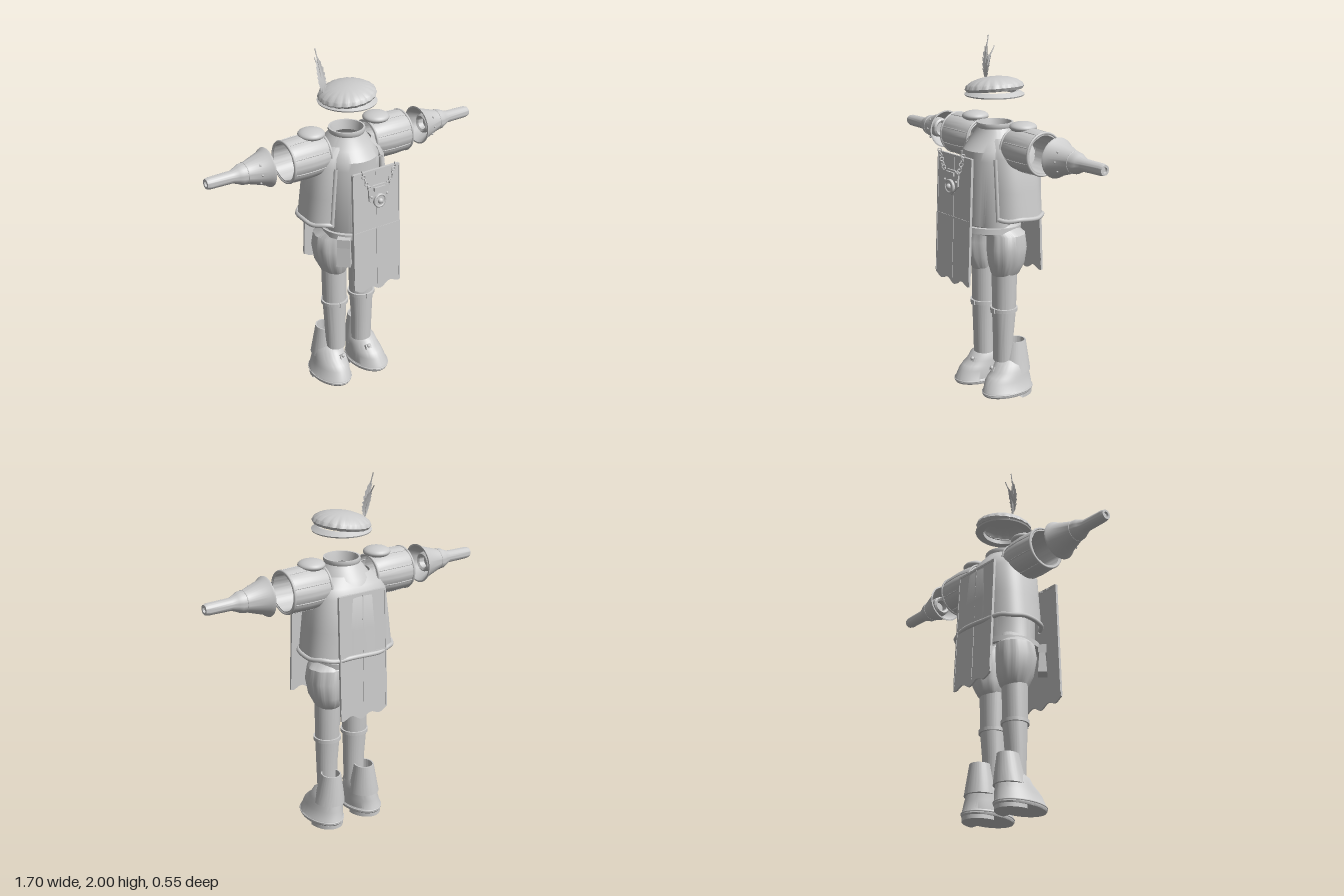
import * as THREE from 'three';
import { toCreasedNormals } from 'three/addons/utils/BufferGeometryUtils.js';

const cloth = new THREE.MeshStandardMaterial({ color: 0xcccccc, side: THREE.DoubleSide });
cloth.name = 'light grey cloth';

const V = (x, y, z) => new THREE.Vector3(x, y, z);
const TAU = Math.PI * 2;

function add(parent, name, geometry, x = 0, y = 0, z = 0) {
  const mesh = new THREE.Mesh(geometry, cloth);
  mesh.name = name;
  mesh.position.set(x, y, z);
  parent.add(mesh);
  return mesh;
}

function section(parent, name) {
  const g = new THREE.Group();
  g.name = name;
  parent.add(g);
  return g;
}

// Point on a (super)ellipse ring [y, cx, cz, rx, rz]
function ringPoint([y, cx, cz, rx, rz], t, power = 1) {
  const p = (v) => Math.sign(v) * Math.abs(v) ** power;
  return V(cx + rx * p(Math.cos(t)), y, cz + rz * p(Math.sin(t)));
}

// Skin through stacked rings, optionally a partial arc or with pleats
function loft(rings, { from = 0, to = TAU, power = 1, pleat = () => 1, seg = 64, crease = 0.6 } = {}) {
  const pos = [], index = [];
  rings.forEach((r, j) => {
    for (let i = 0; i <= seg; i++) {
      const t = from + (to - from) * i / seg, k = pleat(t, j);
      pos.push(...ringPoint([r[0], r[1], r[2], r[3] * k, r[4] * k], t, power).toArray());
      if (j < rings.length - 1 && i < seg) {
        const a = j * (seg + 1) + i, c = a + seg + 1;
        index.push(a, c, a + 1, a + 1, c, c + 1);
      }
    }
  });
  const g = new THREE.BufferGeometry();
  g.setAttribute('position', new THREE.Float32BufferAttribute(pos, 3));
  g.setIndex(index);
  return toCreasedNormals(g, crease);
}

const lathe = (pts, seg = 40) =>
  toCreasedNormals(new THREE.LatheGeometry(pts.map(([r, y]) => new THREE.Vector2(r, y)), seg), 0.6);
const tube = (pts, r, n = 48) => new THREE.TubeGeometry(new THREE.CatmullRomCurve3(pts), n, r, 8);
const box = (w, h, d) => new THREE.BoxGeometry(w, h, d);
const ringTube = (ring, r) =>
  new THREE.TubeGeometry(new THREE.CatmullRomCurve3(
    Array.from({ length: 32 }, (_, i) => ringPoint(ring, TAU * i / 32)), true), 64, r, 8, true);

// Beret with scalloped crown, brim band and feathers
function buildHat(root) {
  const hat = section(root, 'hat');
  const crown = add(hat, 'crown', loft([
    [-0.015, 0, 0, 0.125, 0.13], [-0.012, 0, 0, 0.148, 0.153], [0.003, 0, 0, 0.158, 0.163],
    [0.022, 0, 0, 0.15, 0.155], [0.042, 0, 0, 0.12, 0.125], [0.055, 0, 0, 0.08, 0.085],
    [0.062, 0, 0, 0.04, 0.042], [0.064, 0, 0, 0, 0]],
  { seg: 128, pleat: (t, j) => 1 - (j < 5 ? 0.035 * (1 - Math.abs(Math.cos(t * 10))) : 0) }), 0, 1.735, -0.045);
  crown.rotation.z = 0.12;
  add(hat, 'brim', lathe([[0.115, 1.698], [0.157, 1.698], [0.16, 1.705], [0.152, 1.71],
    [0.13, 1.725], [0.115, 1.722], [0.115, 1.698]]), 0, 0, -0.045).scale.z = 1.03;
  for (const [height, bend, base, lean] of [[0.24, 0.035, 1.76, -0.025], [0.18, 0.065, 1.76, -0.01]]) {
    const s = new THREE.Shape(), n = 8;
    const edge = (k) => 0.025 * Math.sin(Math.PI * Math.min(1, k * 1.2)) ** 0.6 + 0.002;
    s.moveTo(-0.002, 0);
    for (let i = 1; i <= n; i++) {
      s.lineTo(-edge(i / n), height * i / n);
      s.lineTo(-edge(i / n) * 0.65, height * (i / n - 0.02));
    }
    s.lineTo(0, height);
    for (let i = n; i >= 1; i--) {
      s.lineTo(edge(i / n) * 0.65, height * (i / n - 0.02));
      s.lineTo(edge(i / n), height * (i / n - 0.05));
    }
    s.lineTo(0.002, 0);
    const g = new THREE.ShapeGeometry(s), p = g.attributes.position;
    const curve = (k) => -bend * k * k;
    for (let i = 0; i < p.count; i++) {
      const k = p.getY(i) / height;
      p.setXYZ(i, p.getX(i) + lean * k, p.getY(i), curve(k) + 0.25 * Math.abs(p.getX(i)));
    }
    g.computeVertexNormals();
    add(hat, 'feather', g, -0.125, base, -0.085);
    add(hat, 'quill', tube([0, 0.33, 0.66, 1].map((k) => V(lean * k, height * k, curve(k))), 0.003, 16), -0.125, base, -0.085);
  }
}

// Vest, open coat and belt
function buildTorso(root) {
  const torso = section(root, 'torso');
  add(torso, 'vest', loft([[0.94, 0, -0.04, 0.16, 0.12], [1.0, 0, -0.005, 0.155, 0.135], [1.36, 0, -0.025, 0.165, 0.155],
    [1.41, 0, -0.05, 0.165, 0.18], [1.46, 0, -0.06, 0.145, 0.145], [1.51, 0, -0.055, 0.11, 0.105], [1.535, 0, -0.05, 0.09, 0.09]]));
  add(torso, 'collar', lathe([[0.08, 1.5], [0.097, 1.525], [0.102, 1.54], [0.1, 1.552], [0.09, 1.552], [0.085, 1.53], [0.08, 1.5]]), 0, 0, -0.05);
  const half = 0.62, arc = { from: Math.PI / 2 + half, to: TAU + Math.PI / 2 - half, power: 0.75 };
  const hem = [1.04, 0, -0.085, 0.262, 0.175];
  const coat = [hem, [1.2, 0, -0.083, 0.243, 0.171], [1.38, 0, -0.08, 0.22, 0.166], [1.43, 0, -0.075, 0.2, 0.145], [1.48, 0, -0.065, 0.14, 0.11]];
  add(torso, 'coat', loft(coat, arc));
  const hemPts = Array.from({ length: 49 }, (_, i) => {
    const p = ringPoint(hem, arc.from + (arc.to - arc.from) * i / 48, 0.75);
    p.y += 0.01 + 0.004 * Math.sin(i * 0.8);
    return p;
  });
  add(torso, 'coatHem', tube(hemPts, 0.013, 120));
  for (const t of [arc.from, arc.to])
    add(torso, 'coatEdge', tube(coat.slice(0, 3).map((r) => ringPoint(r, t, 0.75)), 0.011, 12));
  const belt = add(torso, 'belt', loft([[-0.016, 0, 0, 0.15, 0.15], [-0.016, 0, 0, 0.17, 0.178], [0.016, 0, 0, 0.17, 0.178], [0.016, 0, 0, 0.15, 0.15]]), 0, 0.975, -0.01);
  belt.rotation.x = -0.05;
  // Pouch on the belt, wider at the bottom
  const pouch = section(torso, 'pouch');
  pouch.position.set(-0.135, 0.9, 0.12);
  pouch.rotation.y = -0.75;
  const g = box(0.08, 0.16, 0.05), p = g.attributes.position;
  for (let i = 0; i < p.count; i++) if (p.getY(i) > 0) p.setXYZ(i, p.getX(i) * 0.8, p.getY(i), p.getZ(i) * 0.55);
  g.computeVertexNormals();
  add(pouch, 'pouchBag', g);
  add(pouch, 'pouchFlap', box(0.072, 0.05, 0.045), 0, 0.06, 0);
}

// Long hanging panel with a scalloped lower hem, seams and border
function buildPanel(root, name, z, tilt, out) {
  const panel = section(root, name);
  panel.position.set(0, 1.05, z);
  panel.rotation.x = tilt;
  const s = new THREE.Shape();
  s.moveTo(-0.146, 0.35);
  for (let i = 0; i <= 40; i++)
    s.lineTo(-0.152 + 0.304 * i / 40, -0.345 + 0.012 * Math.cos(i / 40 * TAU * 2.5 + 0.6) + 0.006 * Math.cos(i / 40 * TAU));
  s.lineTo(0.146, 0.35);
  add(panel, 'panelCloth', new THREE.ExtrudeGeometry(s, { depth: 0.01, bevelEnabled: false }), 0, 0, -0.005);
  add(panel, 'centreSeam', box(0.006, 0.68, 0.004), 0, 0.01, out * 0.006);
  add(panel, 'crossSeam', box(0.29, 0.006, 0.004), 0, 0.01, out * 0.006);
  add(panel, 'topBorder', box(0.296, 0.012, 0.016), 0, 0.347, 0);
  for (const x of [-1, 1]) add(panel, 'sideBorder', box(0.008, 0.67, 0.015), x * 0.147, 0.015, 0);
}

// Medallion hanging on linked rings
function buildPendant(root) {
  const pendant = section(root, 'pendant');
  const s = new THREE.Shape([[-0.065, 0.06], [-0.035, 0.075], [0.035, 0.075], [0.065, 0.06], [0.062, -0.01], [0, -0.065], [-0.062, -0.01]]
    .map(([x, y]) => new THREE.Vector2(x, y)));
  add(pendant, 'shield', new THREE.ExtrudeGeometry(s, { depth: 0.01, bevelEnabled: false }), 0, 1.25, 0.242);
  add(pendant, 'medallion', new THREE.CylinderGeometry(0.036, 0.038, 0.012, 32), 0, 1.235, 0.258).rotation.x = Math.PI / 2;
  add(pendant, 'medallionRim', new THREE.TorusGeometry(0.034, 0.006, 8, 32), 0, 1.235, 0.262);
  add(pendant, 'gem', new THREE.SphereGeometry(0.016, 16, 12), 0, 1.235, 0.264);
  add(pendant, 'clasp', box(0.07, 0.02, 0.012), 0, 1.305, 0.256);
  for (const x of [-1, 1]) {
    for (let i = 0; i < 6; i++) {
      const k = i / 5;
      const link = add(pendant, 'chainLink', new THREE.TorusGeometry(0.01, 0.0035, 6, 14), x * (0.06 + 0.045 * k), 1.315 + 0.1 * k ** 1.3, 0.247);
      link.rotation.y = i % 2 ? 1.2 : 0;
    }
    add(pendant, 'stud', new THREE.SphereGeometry(0.007, 10, 8), x * 0.05, 1.265, 0.254);
  }
  for (let i = -2; i <= 2; i++)
    add(pendant, 'neckBead', new THREE.TorusGeometry(0.008, 0.003, 6, 14), i * 0.05, 1.38, 0.192).rotation.x = Math.PI / 2;
}

// Puffed sleeve, shoulder pad and glove, built towards +x
function buildArm(side) {
  const arm = section(side, 'arm');
  arm.position.set(0, 1.43, -0.075);
  const lay = (m) => { m.rotation.z = -Math.PI / 2; return m; };
  const ring = (x, r) => [x, 0, 0, r, r];
  const sleeve = [ring(0.145, 0.095), ring(0.15, 0.107), ring(0.2, 0.117), ring(0.27, 0.121), ring(0.36, 0.118), ring(0.385, 0.114), ring(0.385, 0.102), ring(0.2, 0.1)];
  lay(add(arm, 'sleeve', loft(sleeve, { seg: 96, pleat: (t) => 1 - 0.025 * (1 - Math.abs(Math.cos(t * 4))) })));
  for (const [x, r] of [[0.15, 0.106], [0.382, 0.113]]) add(arm, 'sleeveTrim', ringTube(ring(0, r), 0.007), x, 0, 0).rotation.z = -Math.PI / 2;
  for (let i = 0; i < 8; i++) {
    const t = TAU * (i + 0.5) / 8, path = sleeve.slice(1, 6).map((r) => ringPoint([r[0], 0, 0, r[3] * 0.975, r[4] * 0.975], t));
    lay(add(arm, 'sleeveSeam', tube(path, 0.003, 16)));
  }
  add(arm, 'shoulderPad', new THREE.SphereGeometry(1, 32, 16), 0.21, 0.12, 0).scale.set(0.074, 0.03, 0.075);
  lay(add(arm, 'glove', lathe([[0, 0.56], [0.03, 0.56], [0.033, 0.53], [0.045, 0.522], [0.054, 0.53], [0.057, 0.57], [0.09, 0.505], [0.1, 0.49], [0.108, 0.491],
    [0.104, 0.5], [0.094, 0.51], [0.058, 0.62], [0.056, 0.65], [0.046, 0.67], [0.034, 0.7], [0.032, 0.83], [0.027, 0.85], [0.015, 0.85], [0.012, 0.84], [0, 0.84]])));
  add(arm, 'gloveBand', ringTube(ring(0, 0.057), 0.003), 0.625, 0, 0).rotation.z = -Math.PI / 2;
  for (const a of [-0.7, 0, 0.7])
    add(arm, 'gloveStud', new THREE.SphereGeometry(0.006, 8, 6), 0.56, 0.079 * Math.sin(a), 0.079 * Math.cos(a));
}

// Puffed breeches, stocking and boot
function buildLeg(side) {
  const leg = section(side, 'leg');
  add(leg, 'breeches', loft([[0.705, 0.092, -0.045, 0.066, 0.07], [0.72, 0.093, -0.05, 0.075, 0.085], [0.78, 0.102, -0.05, 0.098, 0.107],
    [0.87, 0.108, -0.047, 0.108, 0.118], [0.945, 0.1, -0.048, 0.105, 0.11], [0.975, 0.085, -0.03, 0.085, 0.1], [1.02, 0.07, -0.02, 0.07, 0.1]],
  { seg: 96, pleat: (t, j) => 1 - (j > 0 && j < 5 ? 0.04 * (1 - Math.abs(Math.cos(t * 5))) : 0) }));
  add(leg, 'stocking', loft([[0.2, 0.09, -0.038, 0.058, 0.053], [0.35, 0.092, -0.038, 0.062, 0.056], [0.5, 0.092, -0.043, 0.069, 0.066], [0.73, 0.092, -0.045, 0.073, 0.07]]));
  add(leg, 'garter', loft([[0.495, 0.092, -0.042, 0.066, 0.064], [0.496, 0.092, -0.042, 0.078, 0.076], [0.516, 0.092, -0.042, 0.078, 0.076], [0.517, 0.092, -0.042, 0.066, 0.064]]));
  add(leg, 'garterBuckle', box(0.028, 0.028, 0.012), 0.092, 0.506, 0.034);

  const boot = section(side, 'boot');
  add(boot, 'bootFoot', loft([[0.021, 0.13, -0.04, 0, 0], [0.021, 0.13, -0.04, 0.1, 0.155], [0.03, 0.13, -0.04, 0.105, 0.161], [0.045, 0.13, -0.04, 0.104, 0.16], [0.05, 0.13, -0.04, 0.1, 0.157],
    [0.1, 0.122, -0.047, 0.092, 0.145], [0.125, 0.12, -0.055, 0.087, 0.13], [0.15, 0.117, -0.07, 0.083, 0.112], [0.185, 0.113, -0.075, 0.075, 0.098], [0.21, 0.11, -0.08, 0.055, 0.07], [0.215, 0.11, -0.08, 0, 0]]));
  add(boot, 'bootShaft', loft([[0.135, 0.118, -0.1, 0.075, 0.08], [0.138, 0.118, -0.1, 0.086, 0.092], [0.2, 0.115, -0.105, 0.075, 0.08],
    [0.31, 0.112, -0.11, 0.055, 0.061], [0.31, 0.112, -0.11, 0.048, 0.053], [0.2, 0.112, -0.11, 0.048, 0.053]]));
  add(boot, 'soleTrim', ringTube([0.04, 0.13, -0.04, 0.104, 0.16], 0.004));
  const heel = add(boot, 'heel', new THREE.CylinderGeometry(1, 1, 0.022, 32, 1, false, Math.PI / 2, Math.PI), 0.13, 0.011, -0.075);
  heel.scale.set(0.092, 1, 0.12);
  const buckle = add(boot, 'bootBuckle', box(0.036, 0.026, 0.016), 0.09, 0.16, 0.036);
  buckle.rotation.x = -0.5;
  add(boot, 'buckleKnob', new THREE.SphereGeometry(0.011, 12, 8), 0.09, 0.168, 0.042);
}

export function createModel() {
  const root = new THREE.Group();
  root.name = 'costume';
  buildHat(root);
  buildTorso(root);
  buildPanel(root, 'frontPanel', 0.231, -0.035, 1);
  buildPanel(root, 'backPanel', -0.252, 0.04, -1);
  buildPendant(root);
  for (const s of [1, -1]) {
    const side = section(root, s > 0 ? 'leftSide' : 'rightSide');
    side.scale.x = s;
    buildArm(side);
    buildLeg(side);
  }
  return root;
}
